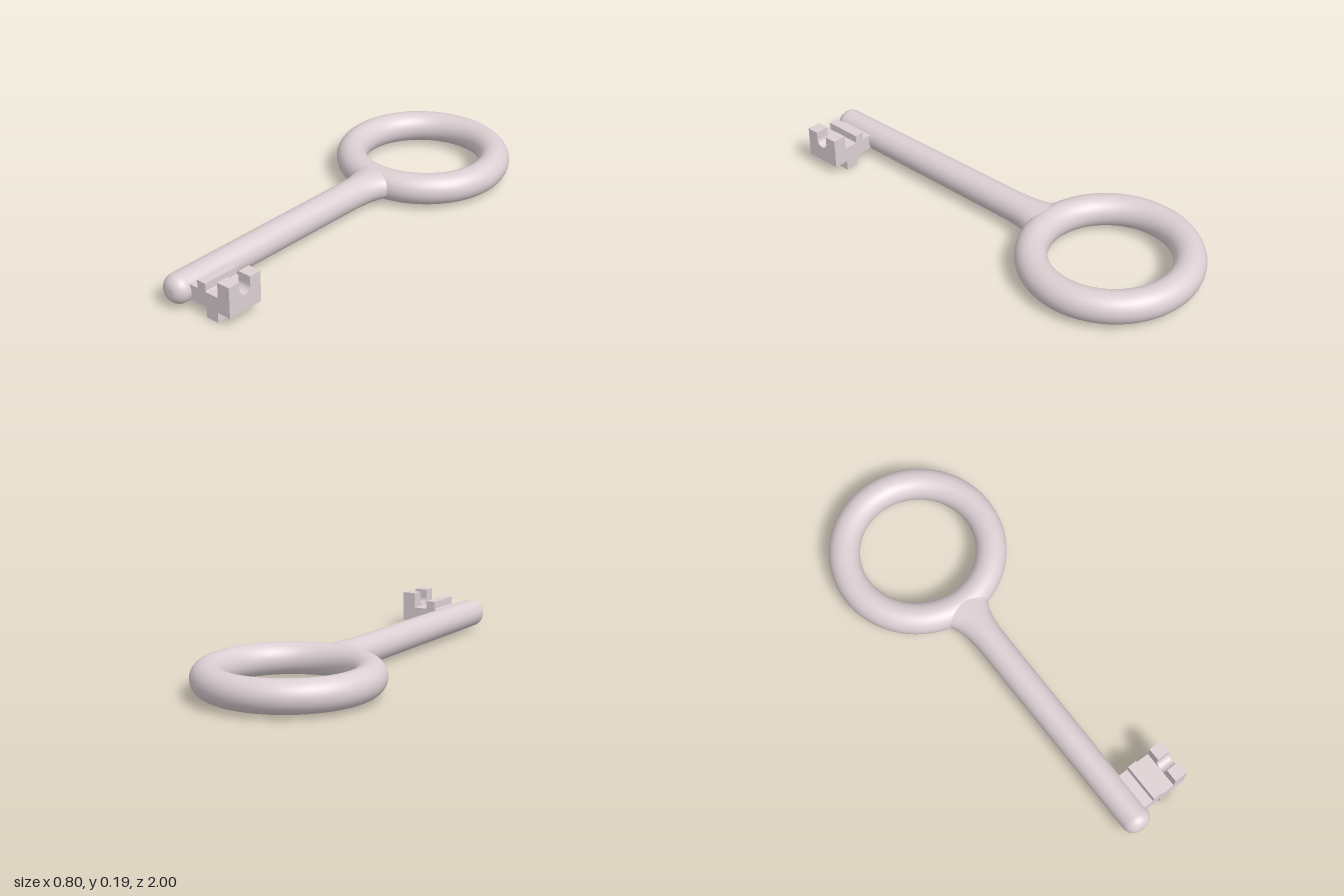
import * as THREE from 'three';
import { mergeVertices } from 'three/addons/utils/BufferGeometryUtils.js';

const MID = 0.08; // height of the key's centre line

export function createModel() {
  const key = new THREE.Group();
  key.name = 'key';
  const material = new THREE.MeshStandardMaterial({ color: 0xdccfd3 });
  const add = (name, geometry) => {
    const mesh = new THREE.Mesh(geometry, material);
    mesh.name = name;
    key.add(mesh);
    return mesh;
  };

  // Bow: the round handle ring
  const bow = add('bow', new THREE.TorusGeometry(0.33, 0.07, 32, 96));
  bow.rotation.x = Math.PI / 2;
  bow.position.set(0, MID, -0.6);

  // Shaft: round bar with a rounded tip, spreading sideways into the bow
  add('shaft', shaftGeometry()).position.y = MID;

  // Bit: stepped plate with an upper and a lower tooth
  const plate = roundedInside([
    [0.04, 0.047], [0.147, 0.047, 1], [0.147, 0], [0.208, 0], [0.208, 0.047, 1],
    [0.213, 0.047], [0.213, 0.115], [0.145, 0.115, 1], [0.145, 0.153],
    [0.1, 0.153], [0.1, 0.115, 1], [0.04, 0.115],
  ]);
  add('bitPlate', extrude(plate, 0.172)).position.z = 0.767;

  // End tooth: block with a U-shaped notch cut across its top
  const tooth = new THREE.Shape();
  tooth.moveTo(-0.086, 0.047);
  tooth.lineTo(0.086, 0.047);
  tooth.lineTo(0.086, 0.185);
  tooth.lineTo(0.029, 0.185);
  tooth.lineTo(0.029, 0.147);
  tooth.absarc(0, 0.147, 0.029, 0, -Math.PI, true);
  tooth.lineTo(-0.029, 0.185);
  tooth.lineTo(-0.086, 0.185);
  tooth.closePath();
  const endTooth = add('bitEndTooth', extrude(tooth, 0.063));
  endTooth.rotation.y = Math.PI / 2;
  endTooth.position.set(0.212, 0, 0.853);

  return key;
}

function extrude(shape, depth) {
  return new THREE.ExtrudeGeometry(shape, { depth, bevelEnabled: false, curveSegments: 12 });
}

// Polygon whose corners marked with 1 get a small fillet
function roundedInside(points, r = 0.006) {
  const shape = new THREE.Shape();
  const v = points.map(([x, y]) => new THREE.Vector2(x, y));
  const n = v.length;
  const toward = (a, b) => b.clone().sub(a).setLength(r).add(a);
  shape.moveTo(v[0].x, v[0].y);
  for (let i = 1; i < n; i++) {
    if (points[i][2]) {
      // keep the fillet inside short neighbouring edges
      const a = toward(v[i], v[i - 1]);
      const next = v[(i + 1) % n];
      const b = v[i].distanceTo(next) > r ? toward(v[i], next) : next;
      shape.lineTo(a.x, a.y);
      shape.quadraticCurveTo(v[i].x, v[i].y, b.x, b.y);
    } else shape.lineTo(v[i].x, v[i].y);
  }
  shape.closePath();
  return shape;
}

function shaftGeometry() {
  const profile = [];
  for (let i = 0; i <= 24; i++) profile.push(new THREE.Vector2(0.067, -0.27 + i * 0.0125));
  profile.push(new THREE.Vector2(0.0655, 0.5));
  for (let i = 0; i <= 10; i++) {
    const a = (i / 10) * Math.PI / 2;
    profile.push(new THREE.Vector2(0.014 + 0.05 * Math.cos(a), 0.95 + 0.05 * Math.sin(a)));
  }
  profile.push(new THREE.Vector2(0, 1));

  const geometry = new THREE.LatheGeometry(profile, 48);
  geometry.rotateX(Math.PI / 2);
  geometry.deleteAttribute('uv');
  geometry.deleteAttribute('normal');

  // Widen the sections sideways toward the bow
  const p = geometry.attributes.position;
  for (let i = 0; i < p.count; i++) {
    const t = THREE.MathUtils.clamp((0.02 - p.getZ(i)) / 0.24, 0, 1.15);
    p.setX(i, p.getX(i) * (1 + 0.08 * t * t + 0.52 * t ** 4));
  }
  const welded = mergeVertices(geometry, 1e-5);
  welded.computeVertexNormals();
  return welded;
}
